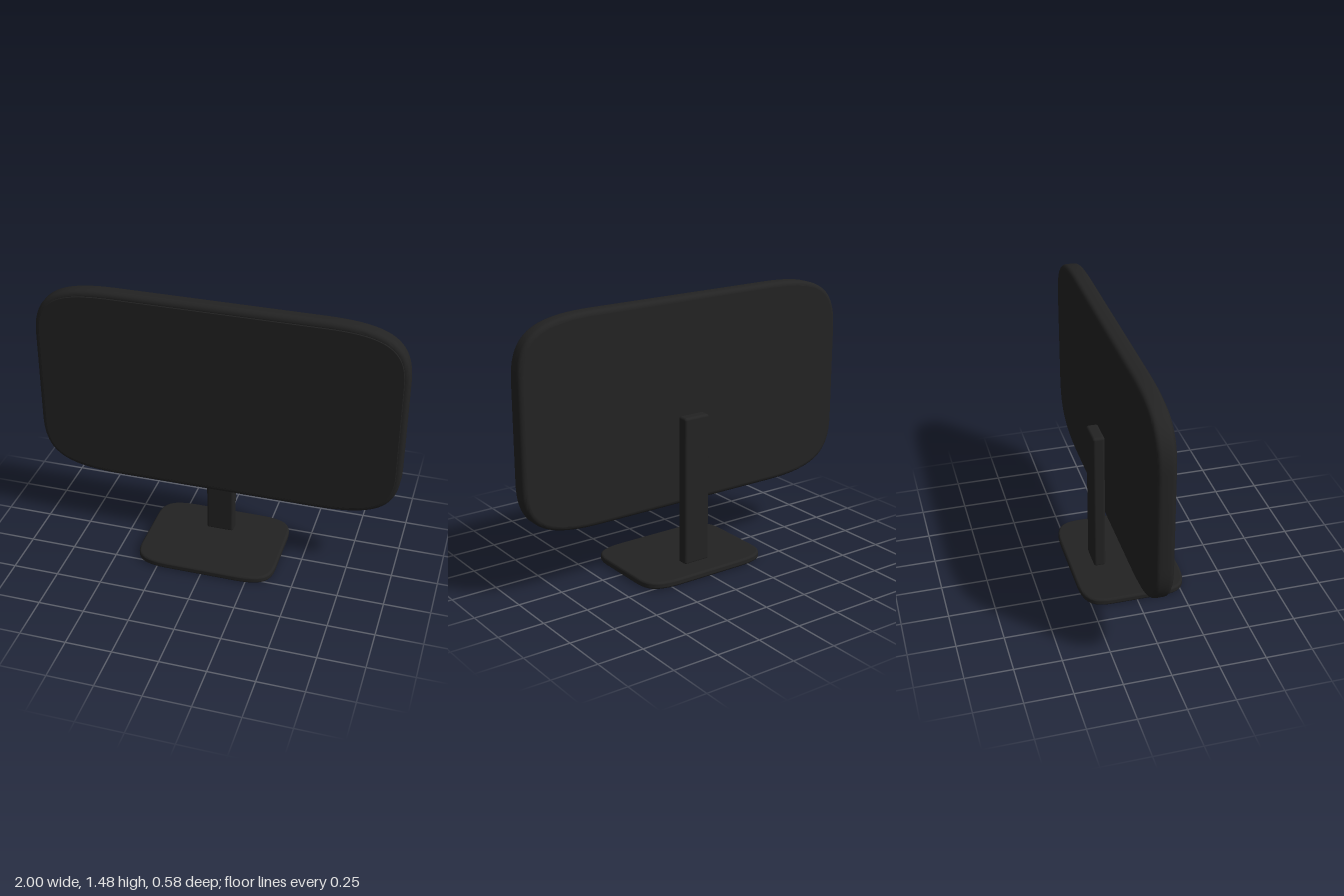
import * as THREE from 'three';
import { toCreasedNormals } from 'three/addons/utils/BufferGeometryUtils.js';
import { RoundedBoxGeometry } from 'three/addons/geometries/RoundedBoxGeometry.js';

// Rectangle with long, soft corners: cx and cy are how far each corner curve reaches.
function softRect(w, h, cx, cy, k = 0.75) {
  const x = w / 2, y = h / 2;
  const s = new THREE.Shape();
  s.moveTo(x, -y + cy);
  s.lineTo(x, y - cy);
  s.bezierCurveTo(x, y - cy * (1 - k), x - cx * (1 - k), y, x - cx, y);
  s.lineTo(-x + cx, y);
  s.bezierCurveTo(-x + cx * (1 - k), y, -x, y - cy * (1 - k), -x, y - cy);
  s.lineTo(-x, -y + cy);
  s.bezierCurveTo(-x, -y + cy * (1 - k), -x + cx * (1 - k), -y, -x + cx, -y);
  s.lineTo(x - cx, -y);
  s.bezierCurveTo(x - cx * (1 - k), -y, x, -y + cy * (1 - k), x, -y + cy);
  return s;
}

// Slab centred on its own origin, with rounded rims and flat faces.
function slab(shape, depth, bevel) {
  const geo = new THREE.ExtrudeGeometry(shape, {
    depth: depth - 2 * bevel, curveSegments: 20, bevelEnabled: true,
    bevelThickness: bevel, bevelSize: bevel, bevelOffset: -bevel, bevelSegments: 4,
  });
  geo.translate(0, 0, -depth / 2 + bevel);
  const flat = geo.attributes.normal.clone();
  const out = toCreasedNormals(geo, 0.7);
  const { start, count } = geo.groups[0];
  for (let i = start; i < start + count; i++) {
    out.attributes.normal.setXYZ(i, flat.getX(i), flat.getY(i), flat.getZ(i));
  }
  out.clearGroups();
  return out;
}

export function createModel() {
  const model = new THREE.Group();
  model.name = 'monitor';
  const black = new THREE.MeshStandardMaterial({ color: 0x232323 });
  black.name = 'matte black';

  const add = (name, geo, x, y, z) => {
    const mesh = new THREE.Mesh(geo, black);
    mesh.name = name;
    mesh.position.set(x, y, z);
    model.add(mesh);
    return mesh;
  };

  // Display housing and the thin panel on its front
  add('housing', slab(softRect(2, 1.12, 0.45, 0.3), 0.095, 0.025), 0, 0.92, -0.0475);
  add('screen', slab(softRect(1.95, 1.06, 0.4, 0.26), 0.009, 0.003), 0, 0.92, 0);

  // Upright post behind the display
  add('post', new RoundedBoxGeometry(0.155, 0.825, 0.065, 3, 0.014), 0, 0.4425, -0.1275);

  // Foot plate
  const foot = add('foot', slab(softRect(0.77, 0.58, 0.2, 0.15), 0.038, 0.012), 0, 0.019, 0);
  foot.rotation.x = -Math.PI / 2;

  return model;
}
